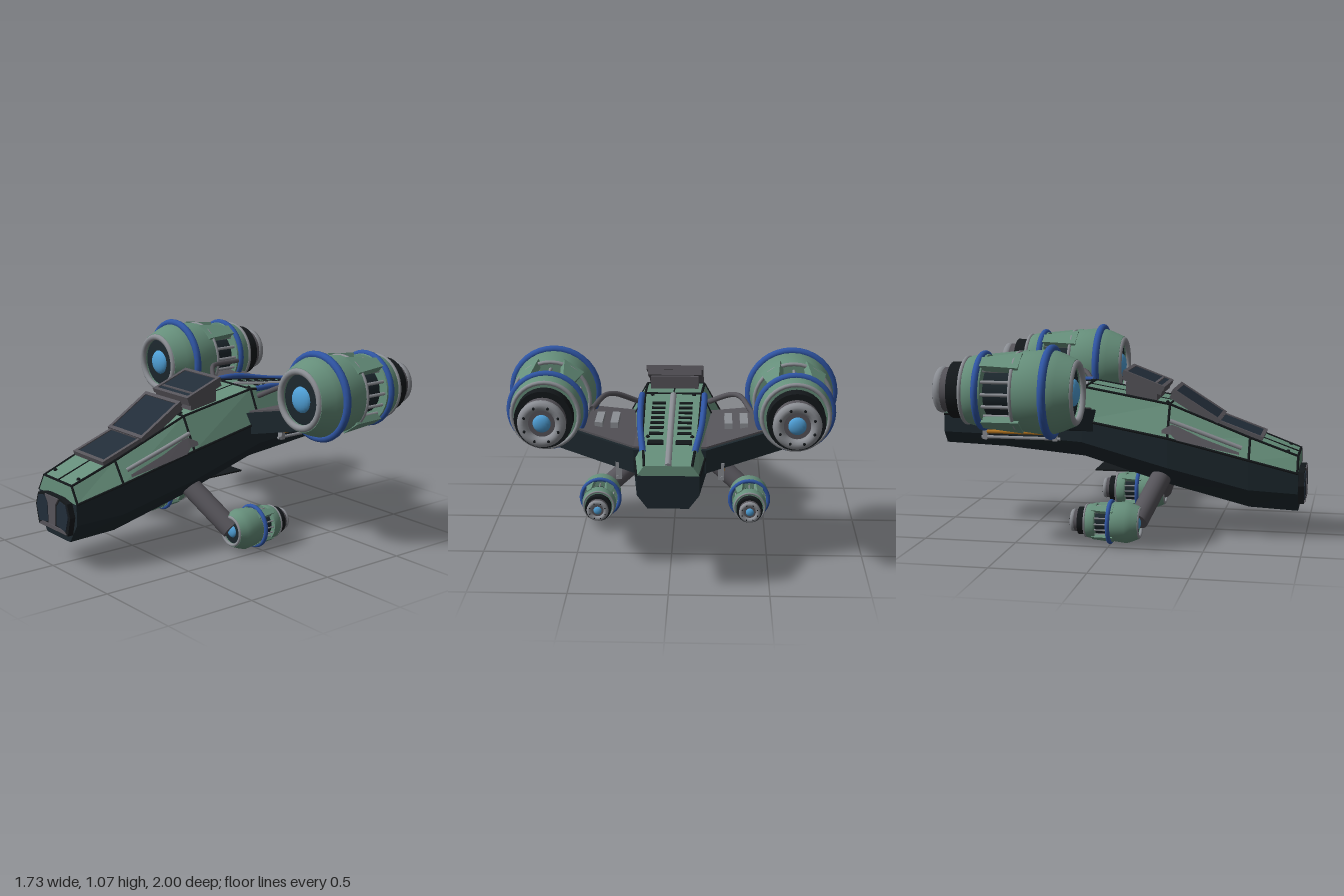
import * as THREE from 'three';
import { toCreasedNormals } from 'three/addons/utils/BufferGeometryUtils.js';

const mat = (name, color, side = THREE.FrontSide) => {
  const m = new THREE.MeshStandardMaterial({ color, side });
  m.name = name;
  return m;
};
const V = (x, y, z) => new THREE.Vector3(x, y, z);

export function createModel() {
  const green = mat('green paint', 0x668f7b), dark = mat('dark hull', 0x1c272d);
  const grey = mat('dark grey metal', 0x56545a, THREE.DoubleSide), light = mat('light grey metal', 0x8b8e94);
  const blue = mat('blue trim', 0x2f55a4), glow = mat('light blue glow', 0x4f9fd6);
  const glass = mat('navy glass', 0x222d39), black = mat('black seam', 0x14181b);
  const orange = mat('orange pipe', 0xbb7a22);

  const model = new THREE.Group();
  model.name = 'spaceship';

  const add = (parent, name, geo, m, x = 0, y = 0, z = 0) => {
    const mesh = new THREE.Mesh(geo, m);
    mesh.name = name;
    mesh.position.set(x, y, z);
    parent.add(mesh);
    return mesh;
  };
  const box = (p, name, m, w, h, d, x, y, z) => add(p, name, new THREE.BoxGeometry(w, h, d), m, x, y, z);

  // straight round bar between two points
  const rod = (p, name, m, a, b, r, sides = 8) => {
    const dir = b.clone().sub(a);
    const mesh = add(p, name, new THREE.CylinderGeometry(r, r, dir.length(), sides), m);
    mesh.position.copy(a).add(b).multiplyScalar(0.5);
    mesh.quaternion.setFromUnitVectors(V(0, 1, 0), dir.normalize());
    return mesh;
  };
  const chain = (p, name, m, pts, r) => pts.slice(1).forEach((b, i) => rod(p, name, m, pts[i], b, r, 6));
  const tube = (p, name, m, pts, r) =>
    add(p, name, new THREE.TubeGeometry(new THREE.CatmullRomCurve3(pts), 20, r, 8), m);

  // flat-sided skin through rings of points (anticlockwise seen from the first ring)
  const loft = (rings, closed = true, caps = true) => {
    const out = [], put = (...ps) => ps.forEach(q => out.push(q.x, q.y, q.z));
    const n = rings[0].length;
    for (let k = 0; k + 1 < rings.length; k++) {
      const A = rings[k], B = rings[k + 1];
      for (let i = 0; i < (closed ? n : n - 1); i++) {
        const j = (i + 1) % n;
        put(A[i], B[i], B[j], A[i], B[j], A[j]);
      }
    }
    if (caps) {
      const A = rings[0], B = rings[rings.length - 1];
      for (let i = 1; i + 1 < n; i++) put(A[0], A[i], A[i + 1], B[0], B[i + 1], B[i]);
    }
    const g = new THREE.BufferGeometry();
    g.setAttribute('position', new THREE.Float32BufferAttribute(out, 3));
    g.computeVertexNormals();
    return g;
  };

  // hull stations: z, top half width, top y, side half width, shoulder y, lower side y, bottom half width, bottom y
  const stations = [
    [0.96, 0.13, 0.455, 0.18, 0.37, 0.26, 0.11, 0.155],
    [0.70, 0.145, 0.55, 0.22, 0.44, 0.28, 0.125, 0.17],
    [0.27, 0.16, 0.72, 0.255, 0.55, 0.39, 0.14, 0.28],
    [-0.20, 0.15, 0.80, 0.23, 0.63, 0.51, 0.14, 0.42],
    [-0.65, 0.14, 0.745, 0.185, 0.64, 0.53, 0.12, 0.455],
    [-1.0, 0.115, 0.68, 0.15, 0.63, 0.53, 0.10, 0.463],
  ];
  const at = z => {
    let k = 0;
    while (k < stations.length - 2 && z < stations[k + 1][0]) k++;
    const A = stations[k], B = stations[k + 1], t = (z - A[0]) / (B[0] - A[0]);
    return A.map((v, i) => v + (B[i] - v) * t);
  };
  const upper = ([z, tw, ty, sw, hy]) => [V(sw, hy, z), V(tw, ty, z), V(-tw, ty, z), V(-sw, hy, z)];
  const lower = ([z, , , sw, hy, ly, bw, by]) =>
    [V(-sw, hy, z), V(-sw, ly, z), V(-bw, by, z), V(bw, by, z), V(sw, ly, z), V(sw, hy, z)];
  add(model, 'upperHull', loft(stations.map(upper), false), green);
  add(model, 'lowerHull', loft(stations.map(lower), false), dark);

  // panel seams
  for (const z of [0.955, 0.7, 0.27, -0.2]) chain(model, 'crossSeam', black, upper(at(z)), 0.007);
  for (const i of [0, 1, 2, 3]) chain(model, 'longSeam', black, stations.map(s => upper(s)[i]), 0.007);
  chain(model, 'centreSeam', black, [V(0, 0.46, 0.955), V(0, 0.55, 0.7), V(0, 0.72, 0.27), V(0, 0.8, -0.2)], 0.004);

  // nose plate
  const plate = (name, m, pts, z, d) => {
    const s = new THREE.Shape(pts.map(p => new THREE.Vector2(p[0], p[1])));
    add(model, name, new THREE.ExtrudeGeometry(s, { depth: d, bevelEnabled: false }), m, 0, 0, z);
  };
  plate('nosePlate', black, [[-0.14, 0.2], [0.14, 0.2], [0.165, 0.3], [0.14, 0.37], [0.07, 0.385], [-0.07, 0.385], [-0.14, 0.37], [-0.165, 0.3]], 0.955, 0.036);
  plate('noseBrace', grey, [[-0.03, 0.23], [0.03, 0.23], [0.035, 0.34], [0.065, 0.38], [-0.065, 0.38], [-0.035, 0.34]], 0.991, 0.008);
  plate('noseSill', grey, [[-0.13, 0.205], [0.13, 0.205], [0.1, 0.225], [-0.1, 0.225]], 0.991, 0.006);
  for (const s of [-1, 1])
    plate('nosePane', glass, [[0.04 * s, 0.235], [0.125 * s, 0.22], [0.15 * s, 0.3], [0.13 * s, 0.36], [0.075 * s, 0.37], [0.045 * s, 0.335]], 0.991, 0.005);

  // raised, tilted canopy windows: half width, front z and y, back z and y
  for (const [hw, z1, y1, z2, y2] of [
    [0.14, 0.77, 0.55, 0.52, 0.64], [0.155, 0.54, 0.64, 0.285, 0.8], [0.155, 0.24, 0.81, 0.015, 0.895],
  ]) {
    const w = new THREE.Group(), L = Math.hypot(z1 - z2, y2 - y1);
    w.name = 'canopyWindow';
    w.position.set(0, (y1 + y2) / 2, (z1 + z2) / 2);
    w.rotation.x = Math.atan2(y2 - y1, z1 - z2);
    box(w, 'windowBase', grey, hw * 1.9, 0.04, L * 0.96, 0, -0.03, 0);
    box(w, 'windowGlass', glass, hw * 1.9, 0.008, L * 0.94, 0, -0.007, 0);
    for (const s of [-1, 1]) {
      box(w, 'frameSide', grey, 0.02, 0.025, L, s * (hw - 0.01), -0.01, 0);
      box(w, 'frameEnd', grey, hw * 2, 0.025, 0.02, 0, -0.01, s * (L / 2 - 0.01));
    }
    model.add(w);
  }
  box(model, 'rearWindowPlinth', grey, 0.26, 0.1, 0.17, 0, 0.78, 0.11);

  // spine and cooling slots on the rear deck
  rod(model, 'spine', light, V(0, 0.795, -0.21), V(0, 0.74, -0.65), 0.018);
  rod(model, 'spine', light, V(0, 0.74, -0.65), V(0, 0.676, -0.995), 0.018);
  for (const s of [-1, 1]) {
    for (let i = 0; i < 7; i++) {
      const z = -0.33 - i * 0.06;
      box(model, 'coolingSlot', black, 0.07, 0.008, 0.02, s * 0.07, at(z)[2] + 0.003, z).rotation.x = -0.14;
    }
    box(model, 'deckHatch', black, 0.08, 0.008, 0.04, s * 0.07, at(-0.78)[2] + 0.003, -0.78).rotation.x = -0.18;
    for (const z of [0.9, 0.72, 0.25, -0.22, -0.72])
      add(model, 'bolt', new THREE.SphereGeometry(0.011, 8, 6), black, s * 0.11, at(z)[2], z);

    // pipes along the hull
    tube(model, 'deckPipe', blue, [V(s * 0.125, 0.715, -0.91), V(s * 0.155, 0.755, -0.6), V(s * 0.165, 0.8, -0.35), V(s * 0.165, 0.8, -0.22)], 0.016);
    tube(model, 'shoulderPipe', light, [V(s * 0.222, 0.64, 0.28), V(s * 0.215, 0.59, 0.42), V(s * 0.19, 0.5, 0.66)], 0.012);

    // grey patch on the shoulder
    const patch = [[0.65, 0.1, 0.2], [0.45, 0.02, 0.3], [0.32, 0, 0.42], [0.29, 0.12, 0.42], [0.24, 0.1, 0.2]].map(([z, a, b]) => {
      const q = at(z);
      return [a, b].map(t => V(s * (q[3] + (q[1] - q[3]) * t + 0.008), q[4] + (q[2] - q[4]) * t + 0.005, z));
    });
    add(model, 'shoulderPatch', loft(patch, false, false), grey);
  }

  // belly plate
  box(model, 'bellyPlate', black, 0.3, 0.008, 0.24, 0, 0.345, -0.02);

  // wing running through the hull, with a grey deck on top: x, back z, front z, bottom y, top y
  const wing = (dz, lift, thin) => loft([0.56, 0.18, -0.18, -0.56].map(x => {
    const [zb, zf, yb, yt] = Math.abs(x) > 0.3 ? [-0.63, -0.24, 0.64, 0.755] : [-0.77, -0.12, 0.56, 0.68];
    const lo = thin ? yt - 0.01 : yb, hi = yt + lift;
    return [V(x, lo, zb + dz), V(x, hi, zb + dz), V(x, hi, zf - dz), V(x, lo, zf - dz)];
  }));
  add(model, 'wing', wing(0, 0, false), dark);
  add(model, 'wingDeck', wing(0.025, 0.01, true), grey);

  // engine pod, front at z = 0 and exhaust towards -z
  const engine = (x, y, z, scale, rings) => {
    const e = new THREE.Group();
    e.name = 'engine';
    e.position.set(x, y, z);
    e.scale.setScalar(scale);
    const lathe = (name, m, pts) => add(e, name, toCreasedNormals(
      new THREE.LatheGeometry(pts.map(p => new THREE.Vector2(p[0], p[1])), 32).rotateX(Math.PI / 2), 0.6), m);
    const ring = (name, m, R, r, pz) => add(e, name, new THREE.TorusGeometry(R, r, 10, 36), m, 0, 0, pz);
    lathe('frontShell', green, [[0.1, -0.31], [0.2, -0.31], [0.205, -0.27], [0.22, -0.14], [0.2, -0.08], [0.17, -0.01], [0.135, -0.005], [0.135, -0.03]]);
    lathe('rearShell', green, [[0.1, -0.58], [0.165, -0.58], [0.177, -0.55], [0.19, -0.48], [0.185, -0.465], [0.1, -0.465]]);
    lathe('core', dark, [[0.13, -0.5], [0.13, -0.3]]);
    lathe('intake', dark, [[0.137, -0.03], [0.06, -0.02], [0, -0.02]]);
    lathe('rearDrum', black, [[0, -0.655], [0.145, -0.655], [0.145, -0.57]]);
    lathe('exhaustDrum', grey, [[0, -0.712], [0.115, -0.712], [0.115, -0.65]]);
    ring('intakeLip', light, 0.15, 0.018, -0.012);
    ring('shellBand', light, 0.198, 0.01, -0.305);
    ring('rearBand', light, 0.167, 0.011, -0.575);
    ring('exhaustLip', light, 0.093, 0.027, -0.713);
    for (const [R, r, pz] of rings) ring('blueRing', blue, R, r, pz);
    add(e, 'intakeGlow', new THREE.SphereGeometry(0.072, 20, 14), glow, 0, 0, -0.03).scale.z = 0.5;
    add(e, 'exhaustGlow', new THREE.SphereGeometry(0.045, 16, 12), glow, 0, 0, -0.71).scale.z = 0.5;
    for (let i = 0; i < 16; i++) {
      const a = (i / 16) * Math.PI * 2, c = Math.cos(a), s = Math.sin(a);
      rod(e, 'coolingRod', light, V(c * 0.163, s * 0.163, -0.3), V(c * 0.163, s * 0.163, -0.48), 0.009, 6);
      if (i % 2) add(e, 'exhaustStud', new THREE.SphereGeometry(0.008, 6, 5), black, c * 0.09, s * 0.09, -0.737);
    }
    // tapering straps over the gap
    const strap = loft([[-0.27, 0.06, 0.208], [-0.5, 0.03, 0.195]].map(([pz, w, r]) =>
      [V(w, r - 0.035, pz), V(w, r, pz), V(-w, r, pz), V(-w, r - 0.035, pz)]));
    for (const a of [-0.6, 0.6, Math.PI - 0.6, Math.PI + 0.6]) add(e, 'strap', strap, green).rotation.z = a;
    model.add(e);
  };

  for (const s of [-1, 1]) {
    engine(s * 0.62, 0.833, -0.125, 1, [[0.222, 0.021, -0.137], [0.188, 0.018, -0.49]]);
    engine(s * 0.418, 0.125, 0.158, 0.5, [[0.215, 0.023, -0.315]]);

    // strut carrying the lower engine
    rod(model, 'lowerStrut', grey, V(s * 0.14, 0.345, 0.235), V(s * 0.405, 0.13, 0.14), 0.055, 20);

    // wing pipes, vents and under-wing rail
    tube(model, 'wingPipe', grey, [V(s * 0.19, 0.765, -0.22), V(s * 0.3, 0.825, -0.29), V(s * 0.345, 0.835, -0.34), V(s * 0.4, 0.825, -0.56)], 0.014);
    for (const x of [0.29, 0.37]) box(model, 'wingVent', light, 0.04, 0.03, 0.18, s * x, 0.735, -0.46);
    rod(model, 'fuelPipe', orange, V(s * 0.26, 0.558, -0.34), V(s * 0.26, 0.558, -0.72), 0.011);
    rod(model, 'railPipe', light, V(s * 0.26, 0.528, -0.31), V(s * 0.26, 0.528, -0.75), 0.009);
    for (const z of [-0.34, -0.73]) box(model, 'railBracket', light, 0.03, 0.09, 0.025, s * 0.255, 0.56, z);
  }
  return model;
}
